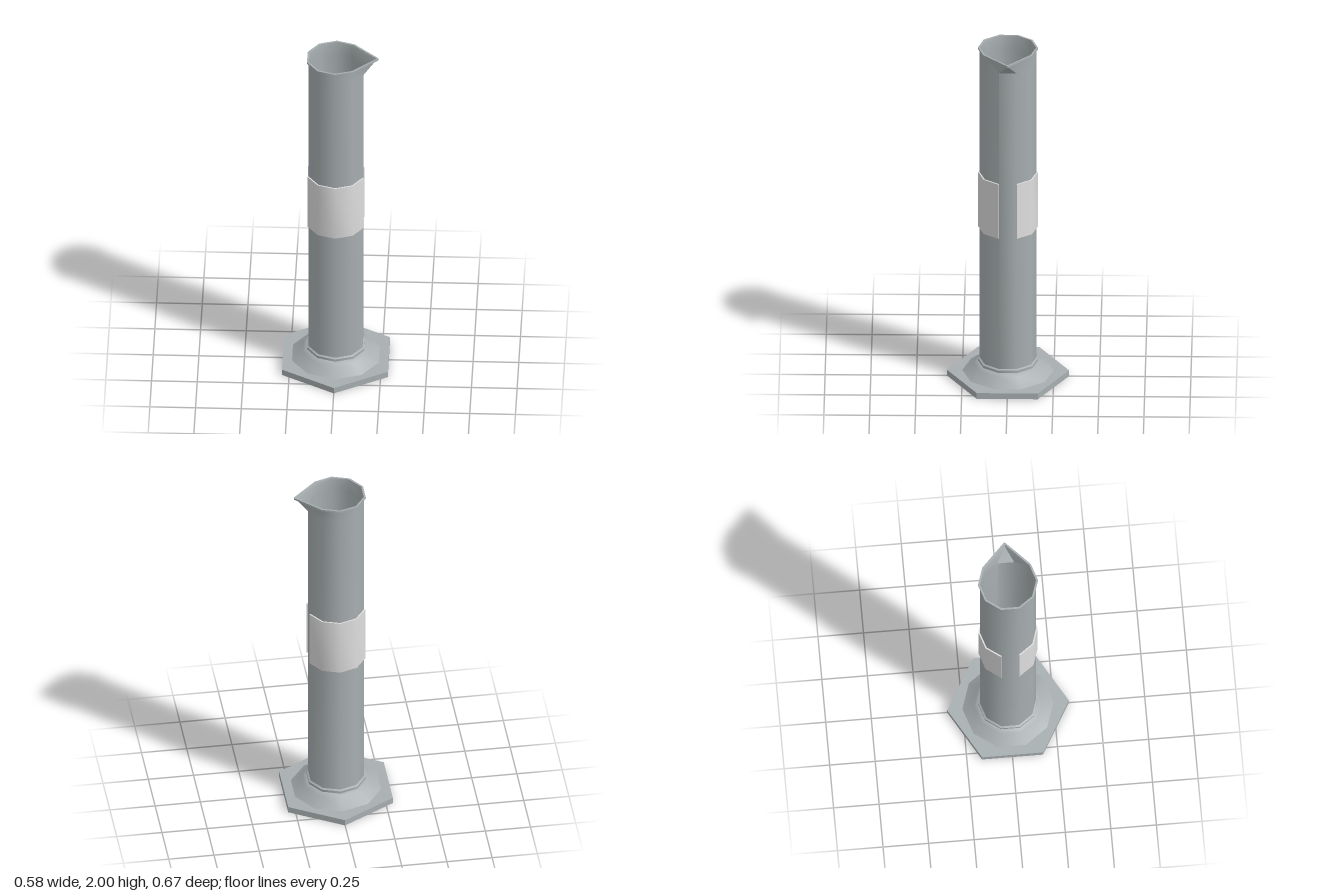
import * as THREE from 'three';
import { toCreasedNormals } from 'three/addons/utils/BufferGeometryUtils.js';

const SIDES = 10;
const CREASE = 0.7; // smooths the 36 degree sides, keeps sharper edges

const grey = new THREE.MeshStandardMaterial({ color: 0xa8afb1 });
grey.name = 'grey plastic';
const white = new THREE.MeshStandardMaterial({ color: 0xdedede });
white.name = 'off-white';

function addPart(group, name, geometry, material) {
  const mesh = new THREE.Mesh(toCreasedNormals(geometry, CREASE), material);
  mesh.name = name;
  group.add(mesh);
  return mesh;
}

// Corner i of a ten-sided ring, counted from +z towards +x
function corner(i, r) {
  const a = (i * Math.PI * 2) / SIDES;
  return [r * Math.sin(a), r * Math.cos(a)];
}

// Skin over rows { r, y, tip }; a tip pulls the two +x corners out into a spout
function loft(rows) {
  const positions = [];
  const index = [];
  for (const { r, y, tip } of rows) {
    for (let i = 0; i < SIDES; i++) {
      let [x, z] = corner(i, r);
      if (tip && (i === 2 || i === 3)) {
        x = tip;
        z = i === 2 ? 0.003 : -0.003;
      }
      positions.push(x, y, z);
    }
  }
  for (let k = 0; k < rows.length - 1; k++) {
    const down = rows[k + 1].y < rows[k].y;
    for (let i = 0; i < SIDES; i++) {
      const j = (i + 1) % SIDES;
      const a = k * SIDES + i;
      const b = k * SIDES + j;
      const c = b + SIDES;
      const d = a + SIDES;
      // diagonals mirror across the spout
      if ((i < 3) !== down) index.push(a, b, d, b, c, d);
      else index.push(a, b, c, a, c, d);
    }
  }
  const geometry = new THREE.BufferGeometry();
  geometry.setAttribute('position', new THREE.Float32BufferAttribute(positions, 3));
  geometry.setIndex(index);
  return geometry;
}

// Thin plate wrapped round the four sides facing +z
function labelGeometry() {
  const outline = [];
  for (let i = -2; i <= 2; i++) outline.push(corner(i, 0.163));
  for (let i = 2; i >= -2; i--) outline.push(corner(i, 0.1545));
  const shape = new THREE.Shape(outline.map(([x, z]) => new THREE.Vector2(x, -z)));
  const geometry = new THREE.ExtrudeGeometry(shape, { depth: 0.33, bevelEnabled: false });
  geometry.rotateX(-Math.PI / 2);
  geometry.translate(0, 0.91, 0);
  return geometry;
}

export function createModel() {
  const model = new THREE.Group();
  model.name = 'measuringCylinder';

  // Hexagonal foot
  const foot = new THREE.CylinderGeometry(0.334, 0.334, 0.035, 6);
  foot.translate(0, 0.0175, 0);
  addPart(model, 'foot', foot, grey);

  // Sloping collar stepping in to the tube
  const collar = [
    [0.25, 0.035], [0.186, 0.08], [0.177, 0.09],
    [0.165, 0.094], [0.165, 0.108], [0.154, 0.114],
  ].map(([r, y]) => new THREE.Vector2(r, y));
  addPart(model, 'collar', new THREE.LatheGeometry(collar, SIDES), grey);

  // Tube wall: outside, lip with pouring spout, then inside down to the floor
  const wall = loft([
    { r: 0.155, y: 0.09 },
    { r: 0.155, y: 1.915 },
    { r: 0.155, y: 1.985, tip: 0.216 },
    { r: 0.165, y: 1.99, tip: 0.233 },
    { r: 0.165, y: 2, tip: 0.233 },
    { r: 0.154, y: 2, tip: 0.22 },
    { r: 0.151, y: 1.985, tip: 0.21 },
    { r: 0.151, y: 1.92 },
    { r: 0.151, y: 0.06 },
  ]);
  addPart(model, 'tubeWithSpout', wall, grey);

  // Floor inside the tube
  const floor = new THREE.CylinderGeometry(0.152, 0.152, 0.008, SIDES);
  floor.translate(0, 0.06, 0);
  addPart(model, 'innerFloor', floor, white);

  // Labels on the front and the back
  addPart(model, 'frontLabel', labelGeometry(), white);
  addPart(model, 'backLabel', labelGeometry(), white).rotation.y = Math.PI;

  return model;
}
